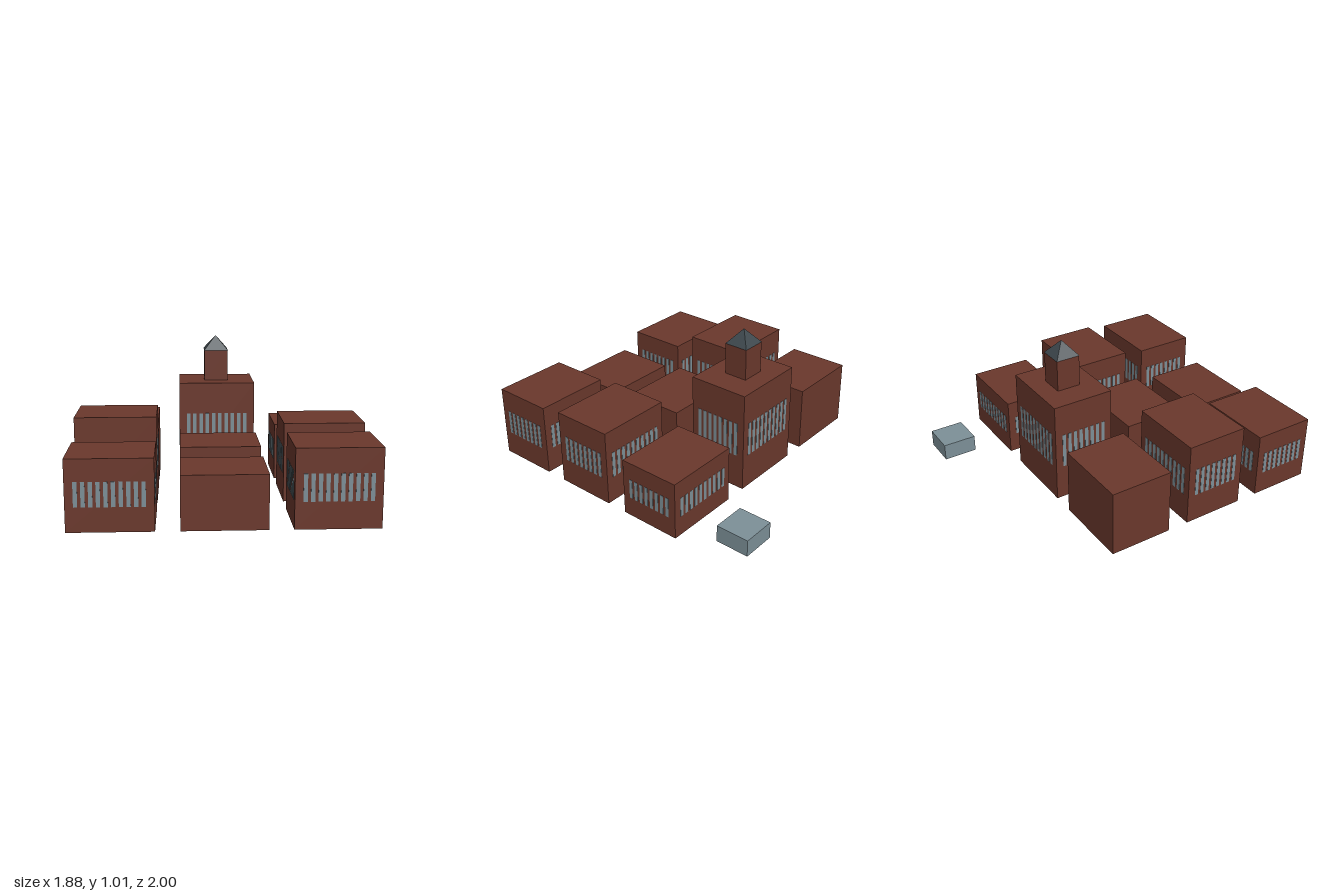
import * as THREE from 'three';

const brick = new THREE.MeshStandardMaterial({ color: 0x6b382c });
const glass = new THREE.MeshStandardMaterial({ color: 0x7d9098 });
const slate = new THREE.MeshStandardMaterial({ color: 0x3d474c, flatShading: true });

const W = 0.525, D = 0.423; // footprint of every block

function box(name, w, h, d, x, y, z, material) {
  const mesh = new THREE.Mesh(new THREE.BoxGeometry(w, h, d), material);
  mesh.name = name;
  mesh.position.set(x, y + h / 2, z);
  return mesh;
}

// A row of tall narrow windows, centred on x and facing +z
function windowRow(name, count, pitch, paneWidth, h) {
  const row = new THREE.Group();
  row.name = name;
  for (let i = 0; i < count; i++) {
    const x = (i - (count - 1) / 2) * pitch;
    row.add(box('window', paneWidth, h * 0.345, 0.004, x, h * 0.345, 0, glass));
  }
  return row;
}

function building(name, x, z, h, hasWindows) {
  const group = new THREE.Group();
  group.name = name;
  group.position.set(x, 0, z);
  group.add(box('walls', W, h, D, 0, 0, 0, brick));
  if (hasWindows) {
    for (const s of [1, -1]) {
      const long = windowRow(s > 0 ? 'frontWindows' : 'backWindows', 10, 0.0443, 0.025, h);
      long.position.z = s * D / 2;
      const short = windowRow(s > 0 ? 'leftWindows' : 'rightWindows', 8, 0.0423, 0.024, h);
      short.rotation.y = Math.PI / 2;
      short.position.x = s * W / 2;
      group.add(long, short);
    }
  }
  return group;
}

export function createModel() {
  const model = new THREE.Group();
  model.name = 'buildingComplex';

  // Three by three blocks: [name, x, z, height, windows]
  const xs = [-0.673, 0, 0.673], zs = [-0.35, 0.217, 0.787];
  const blocks = [
    ['backRightBlock', 0, 0, 0.447, false],
    ['mainHall', 1, 0, 0.695, true],
    ['backLeftBlock', 2, 0, 0.392, true],
    ['middleRightBlock', 0, 1, 0.57, true],
    ['middleBlock', 1, 1, 0.37, false],
    ['middleLeftBlock', 2, 1, 0.52, true],
    ['frontRightBlock', 0, 2, 0.445, true],
    ['frontBlock', 1, 2, 0.34, false],
    ['frontLeftBlock', 2, 2, 0.495, true],
  ];
  for (const [name, i, k, h, win] of blocks) model.add(building(name, xs[i], zs[k], h, win));

  // Bell tower with a pyramid roof on the main hall
  model.add(box('tower', 0.165, 0.215, 0.165, 0, 0.695, zs[0], brick));
  const roof = new THREE.Mesh(new THREE.ConeGeometry(0.084 * Math.SQRT2, 0.1, 4), slate);
  roof.name = 'towerRoof';
  roof.geometry.rotateY(Math.PI / 4);
  roof.position.set(0, 0.96, zs[0]);
  model.add(roof);

  // Low glass pavilion behind the blocks
  model.add(box('pavilion', 0.23, 0.115, 0.23, 0.68, 0, -0.885, glass));
  return model;
}
